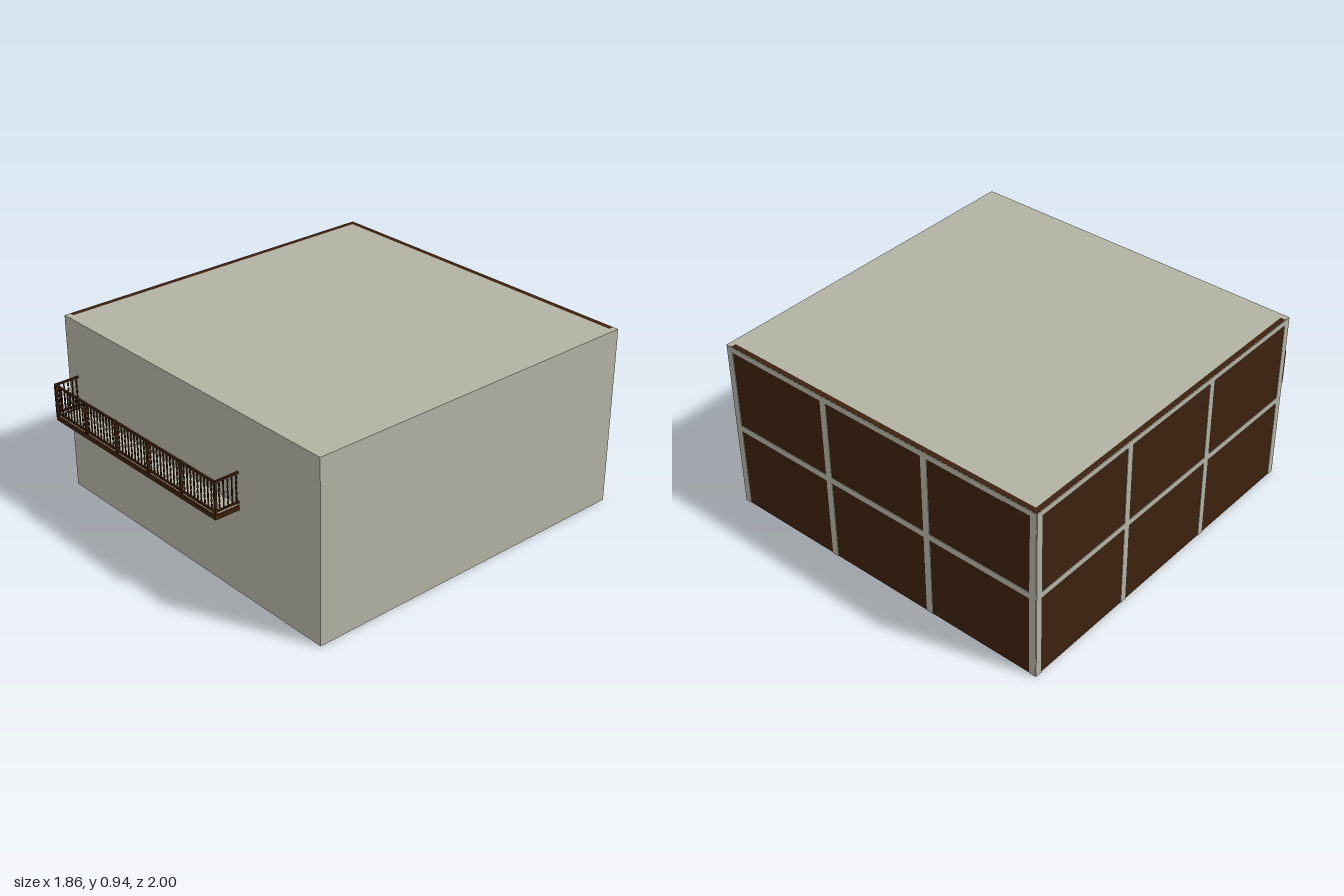
import * as THREE from 'three';

export function createModel() {
  const model = new THREE.Group();
  const grey = new THREE.MeshStandardMaterial({ name: 'concrete grey', color: 0xb1b1a3 });
  const brown = new THREE.MeshStandardMaterial({ name: 'dark brown', color: 0x3d210e });

  // Box given by its limits on each axis
  function box(parent, name, mat, [x0, x1], [y0, y1], [z0, z1]) {
    const mesh = new THREE.Mesh(new THREE.BoxGeometry(x1 - x0, y1 - y0, z1 - z0), mat);
    mesh.position.set((x0 + x1) / 2, (y0 + y1) / 2, (z0 + z1) / 2);
    mesh.name = name;
    parent.add(mesh);
    return mesh;
  }

  // Shell: open underneath, two plain walls and two dark panelled walls
  const W = 0.93, H = 0.935, T = 0.03, back = -1, front = 0.865;
  const shell = new THREE.Group();
  shell.name = 'shell';
  model.add(shell);
  box(shell, 'frontWall', grey, [-W, W], [0, H], [front - T, front]);
  box(shell, 'plainSideWall', grey, [W - T, W], [0, H], [back, front - T]);
  box(shell, 'backPanelWall', brown, [-W, W - T], [0, H], [back, back + 0.027]);
  box(shell, 'sidePanelWall', brown, [-W, -W + 0.027], [0, H], [back + 0.027, front - T]);
  box(shell, 'roof', grey, [-W + 0.027, W - T], [H - T, H], [back + 0.027, front - T]);

  // Thin window frames on the outside of the panelled walls
  const frames = new THREE.Group();
  frames.name = 'windowFrames';
  model.add(frames);
  const bar = 0.036, thin = 0.003;
  const backZ = [back - thin, back], sideX = [-W - thin, -W];
  for (const [y0, y1] of [[0.447, 0.48], [H - T, H - 0.001]]) {
    box(frames, 'backCrossbar', grey, [-W, W], [y0, y1], backZ);
    box(frames, 'sideCrossbar', grey, sideX, [y0, y1], [back, front]);
  }
  for (let i = 0; i < 4; i++) {
    const x = -W + bar / 2 + (i / 3) * (2 * W - bar);
    const z = back + bar / 2 + (i / 3) * (front - back - bar);
    box(frames, 'backMullion', grey, [x - bar / 2, x + bar / 2], [0, H - T], backZ);
    box(frames, 'sideMullion', grey, sideX, [0, H - T], [z - bar / 2, z + bar / 2]);
  }

  // Balcony floor with a dark edge
  const balcony = new THREE.Group();
  balcony.name = 'balcony';
  model.add(balcony);
  const L = -0.86, R = 0.39, F = 1, e = 0.01;
  box(balcony, 'balconyFloor', grey, [L + e, R - e], [0.445, 0.463], [front, F - e]);
  box(balcony, 'floorEdgeFront', brown, [L, R], [0.442, 0.465], [F - e, F]);
  for (const x of [L, R - e]) box(balcony, 'floorEdgeSide', brown, [x, x + e], [0.442, 0.465], [front, F - e]);

  // Railing: rails, posts and balusters, every other baluster beaded
  const rails = [['bottomRail', 0.478, 0.487], ['topRail', 0.627, 0.637]];
  for (const [name, y0, y1] of rails) {
    box(balcony, name, brown, [L, R], [y0, y1], [F - e, F]);
    for (const x of [L, R - e]) box(balcony, name, brown, [x, x + e], [y0, y1], [front, F - e]);
  }
  const bead = new THREE.CylinderGeometry(0.0045, 0.0045, 0.016, 8);
  function baluster(x, z, beaded) {
    const r = beaded ? 0.0015 : 0.0027;
    box(balcony, 'baluster', brown, [x - r, x + r], [0.487, 0.627], [z - r, z + r]);
    for (let i = 0; beaded && i < 5; i++) {
      const mesh = new THREE.Mesh(bead, brown);
      mesh.name = 'balusterBead';
      mesh.position.set(x, 0.503 + i * 0.027, z);
      balcony.add(mesh);
    }
  }
  const zMid = F - e / 2, bays = 5, perBay = 10;
  const xMin = L + e / 2, xMax = R - e / 2;
  for (let i = 0; i <= bays * perBay; i++) {
    const x = xMin + (i / (bays * perBay)) * (xMax - xMin);
    if (i % perBay === 0) box(balcony, 'post', brown, [x - 0.006, x + 0.006], [0.465, 0.637], [F - 0.012, F]);
    else baluster(x, zMid, i % 2 === 1);
  }
  for (const x of [xMin, xMax]) {
    for (let i = 1; i < 6; i++) baluster(x, zMid - i * 0.0235, i % 2 === 1);
  }
  return model;
}
